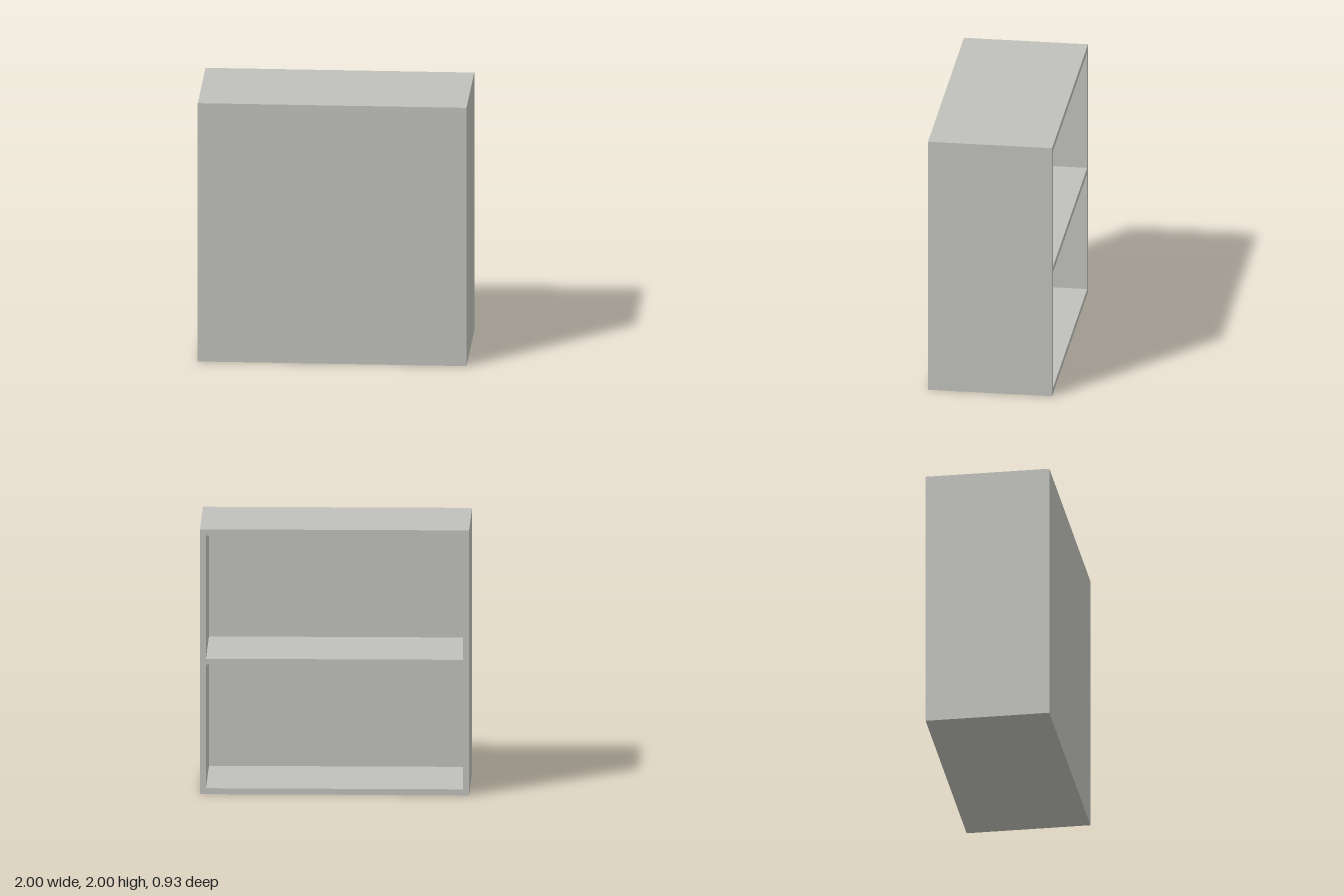
import * as THREE from 'three';

const W = 2, H = 2, D = 0.93; // overall size
const T = 0.045;              // board thickness
const P = 0.007;              // closing panel thickness

function rectangle(target, x0, y0, x1, y1) {
  target.moveTo(x0, y0);
  target.lineTo(x1, y0);
  target.lineTo(x1, y1);
  target.lineTo(x0, y1);
  target.closePath();
  return target;
}

export function createModel() {
  const group = new THREE.Group();
  group.name = 'shelfUnit';
  const board = new THREE.MeshStandardMaterial({ color: 0xc0c0bb });
  board.name = 'greyBoard';

  // Sides, top, bottom and middle shelf as one frame, open towards the back
  const outline = rectangle(new THREE.Shape(), -W / 2, 0, W / 2, H);
  const bayHeight = (H - 3 * T) / 2;
  for (let i = 0; i < 2; i++) {
    const y = T + i * (bayHeight + T);
    outline.holes.push(rectangle(new THREE.Path(), -W / 2 + T, y, W / 2 - T, y + bayHeight));
  }
  const frameGeometry = new THREE.ExtrudeGeometry(outline, { depth: D - P, bevelEnabled: false });
  const frame = new THREE.Mesh(frameGeometry, board);
  frame.name = 'frameWithShelf';
  frame.position.z = -D / 2;
  group.add(frame);

  // Thin panel covering the whole front
  const panel = new THREE.Mesh(new THREE.BoxGeometry(W, H, P), board);
  panel.name = 'closingPanel';
  panel.position.set(0, H / 2, D / 2 - P / 2);
  group.add(panel);

  return group;
}
